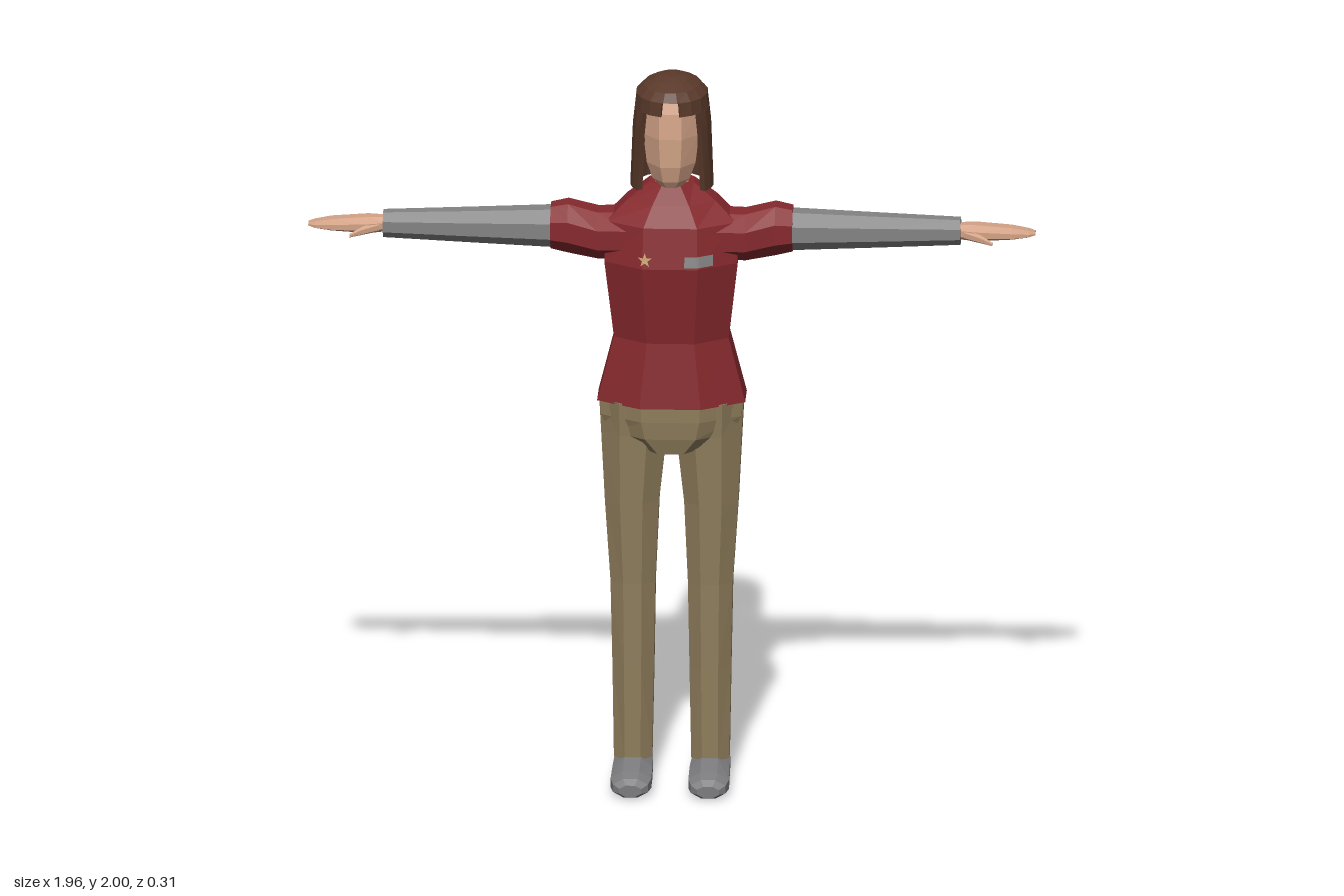
import * as THREE from 'three';

const paint = (name, color) => {
  const m = new THREE.MeshStandardMaterial({ color, flatShading: true });
  m.name = name;
  return m;
};

// Ring of n points round a box-bounded oval, lying across the given axis
const place = (axis, p, u, v) =>
  axis === 'y' ? [u, p, v] : axis === 'x' ? [p, u, v] : [u, v, p];

function ring(axis, p, u0, u1, v0, v1, n, mirror) {
  const k = 1 / Math.cos(Math.PI / n), pts = [];
  for (let i = 0; i < n; i++) {
    const a = ((i + 0.5) / n) * Math.PI * 2;
    const u = (u0 + u1) / 2 + ((u1 - u0) / 2) * k * Math.sin(a);
    const v = (v0 + v1) / 2 + ((v1 - v0) / 2) * k * Math.cos(a);
    const q = place(axis, p, u, v);
    pts.push([q[0] * mirror, q[1], q[2]]);
  }
  return pts;
}

// C-shaped ring for hair, open at the front by the angle gap on each side
function openRing(y, rx, zBack, zFront, gap, n = 16) {
  const outer = [], inner = [], zc = (zBack + zFront) / 2, rz = (zFront - zBack) / 2;
  for (let i = 0; i <= n; i++) {
    const a = gap + (i / n) * (Math.PI * 2 - gap * 2);
    const s = Math.sin(a), c = Math.cos(a);
    outer.push([rx * s, y, zc + rz * c]);
    inner.unshift([rx * 0.85 * s, y, zc + rz * 0.85 * c]);
  }
  return outer.concat(inner);
}

// Skin a list of rings and close both ends, facing outward
function loftRings(rings) {
  const n = rings[0].length, tris = [];
  const quad = (a, b, c, d) => tris.push([a, b, c], [a, c, d]);
  for (let r = 0; r + 1 < rings.length; r++)
    for (let i = 0; i < n; i++) {
      const j = (i + 1) % n;
      quad(rings[r][i], rings[r][j], rings[r + 1][j], rings[r + 1][i]);
    }
  const first = rings[0], last = rings[rings.length - 1];
  for (let i = 0; i + 1 < n / 2; i++) {
    const k = n - 1 - i;
    quad(first[k], first[k - 1], first[i + 1], first[i]);
    quad(last[i], last[i + 1], last[k - 1], last[k]);
  }
  const V = (p) => new THREE.Vector3(...p);
  let volume = 0;
  for (const [a, b, c] of tris) volume += V(a).dot(V(b).cross(V(c)));
  if (volume < 0) tris.forEach((t) => t.reverse());
  const g = new THREE.BufferGeometry();
  g.setAttribute('position', new THREE.Float32BufferAttribute(tris.flat(2), 3));
  g.computeVertexNormals();
  return g;
}

// Sections are [position, u0, u1, v0, v1]
const loft = (axis, sections, n = 8, mirror = 1) =>
  loftRings(sections.map((s) => ring(axis, ...s, n, mirror)));

// Front surface of the shirt between chest and shoulder
function chestZ(x, y) {
  const t = (y - 1.49) / 0.11, rx = 0.18 - 0.005 * t;
  const front = 0.11 - 0.02 * t, rz = (front + 0.125 - 0.005 * t) / 2;
  return front - Math.max(0, Math.abs(x) - rx * 0.414) * (rz / rx);
}

function onChest(geometry) {
  const p = geometry.attributes.position;
  for (let i = 0; i < p.count; i++) p.setZ(i, chestZ(p.getX(i), p.getY(i)) + 0.004);
  geometry.computeVertexNormals();
  return geometry;
}

export function createModel() {
  const model = new THREE.Group();
  const shirt = paint('red shirt', 0x86292d);
  const trousers = paint('khaki', 0x8f7e5c);
  const grey = paint('grey sleeve', 0x838383);
  const shoeGrey = paint('shoe grey', 0x7c7c7f);
  const skin = paint('skin', 0xd3a387);
  const hair = paint('brown hair', 0x5b3a2b);
  const tan = paint('tan badge', 0xc8a272);
  const add = (name, geometry, material) => {
    const mesh = new THREE.Mesh(geometry, material);
    mesh.name = name;
    model.add(mesh);
  };

  // Body
  add('torso', loft('y', [
    [1.09, -0.2, 0.2, -0.15, 0.1],
    [1.27, -0.155, 0.155, -0.125, 0.08],
    [1.49, -0.18, 0.18, -0.125, 0.11],
    [1.6, -0.175, 0.175, -0.12, 0.09],
    [1.655, -0.12, 0.12, -0.115, 0.06],
    [1.705, -0.06, 0.06, -0.085, 0.035],
  ]), shirt);
  add('pelvis', loft('y', [
    [0.955, -0.085, 0.085, -0.13, 0.075],
    [1.0, -0.165, 0.165, -0.145, 0.088],
    [1.05, -0.19, 0.19, -0.148, 0.094],
    [1.1, -0.192, 0.192, -0.145, 0.095],
  ]), trousers);

  // Head
  add('neck', loft('y', [
    [1.68, -0.045, 0.045, -0.07, 0.025],
    [1.77, -0.045, 0.045, -0.07, 0.025],
  ]), skin);
  add('head', loft('y', [
    [1.705, -0.03, 0.03, -0.02, 0.055],
    [1.725, -0.05, 0.05, -0.06, 0.068],
    [1.77, -0.066, 0.066, -0.09, 0.08],
    [1.85, -0.075, 0.075, -0.1, 0.083],
    [1.92, -0.074, 0.074, -0.1, 0.077],
    [1.97, -0.055, 0.055, -0.09, 0.06],
  ]), skin);

  // Hair: crown, notched fringe and long curtain
  add('hairCrown', loft('y', [
    [1.955, -0.096, 0.096, -0.148, 0.088],
    [1.978, -0.075, 0.075, -0.13, 0.07],
    [1.994, -0.045, 0.045, -0.09, 0.03],
    [2.0, -0.02, 0.02, -0.055, -0.005],
  ], 16), hair);
  add('hairFringe', loftRings([
    openRing(1.915, 0.101, -0.15, 0.089, 0.25),
    openRing(1.957, 0.096, -0.148, 0.088, 0.25),
  ]), hair);
  add('hairCurtain', loftRings([
    openRing(1.69, 0.113, -0.15, 0.082, 0.95),
    openRing(1.87, 0.106, -0.15, 0.088, 0.87),
    openRing(1.916, 0.101, -0.15, 0.089, 0.85),
  ]), hair);

  // Chest badges
  const star = new THREE.Shape();
  for (let i = 0; i < 10; i++) {
    const a = Math.PI / 2 + (i * Math.PI) / 5, r = i % 2 ? 0.008 : 0.02;
    star[i ? 'lineTo' : 'moveTo'](-0.068 + r * Math.cos(a), 1.515 + r * Math.sin(a));
  }
  add('starBadge', onChest(new THREE.ShapeGeometry(star)), tan);
  const plate = new THREE.PlaneGeometry(0.076, 0.03, 10, 1);
  plate.translate(0.077, 1.511, 0);
  add('namePlate', onChest(plate), grey);

  for (const [side, m] of [['left', 1], ['right', -1]]) {
    // Arm
    add(side + 'ShortSleeve', loft('x', [
      [0.11, 1.49, 1.62, -0.11, 0.065],
      [0.2, 1.487, 1.617, -0.105, 0.055],
      [0.28, 1.5, 1.637, -0.097, 0.04],
      [0.327, 1.51, 1.627, -0.09, 0.032],
    ], 8, m), shirt);
    add(side + 'LongSleeve', loft('x', [
      [0.31, 1.513, 1.62, -0.087, 0.03],
      [0.55, 1.522, 1.61, -0.078, 0.018],
      [0.78, 1.532, 1.602, -0.066, 0.008],
    ], 8, m), grey);
    add(side + 'Hand', loft('x', [
      [0.77, 1.548, 1.588, -0.056, 0],
      [0.82, 1.544, 1.59, -0.066, 0.014],
      [0.92, 1.55, 1.582, -0.066, 0.013],
      [0.965, 1.556, 1.574, -0.056, 0.004],
      [0.982, 1.561, 1.569, -0.042, -0.01],
    ], 8, m), skin);
    add(side + 'Thumb', loft('x', [
      [0.79, 1.553, 1.578, -0.015, 0.008],
      [0.835, 1.55, 1.57, 0.008, 0.032],
      [0.868, 1.549, 1.558, 0.038, 0.05],
    ], 6, m), skin);

    // Leg
    add(side + 'Leg', loft('y', [
      [0.07, 0.053, 0.156, -0.07, 0.025],
      [0.33, 0.048, 0.16, -0.088, 0.03],
      [0.57, 0.044, 0.165, -0.08, 0.034],
      [0.8, 0.034, 0.18, -0.098, 0.048],
      [1.0, 0.012, 0.19, -0.115, 0.06],
      [1.095, 0.005, 0.195, -0.13, 0.07],
    ], 8, m), trousers);
    add(side + 'Shoe', loft('z', [
      [-0.096, 0.063, 0.148, 0.01, 0.07],
      [-0.06, 0.053, 0.156, 0, 0.08],
      [0.03, 0.05, 0.158, 0, 0.077],
      [0.11, 0.05, 0.16, 0, 0.064],
      [0.145, 0.058, 0.152, 0.002, 0.054],
      [0.16, 0.075, 0.135, 0.008, 0.04],
    ], 8, m), shoeGrey);
  }
  return model;
}
